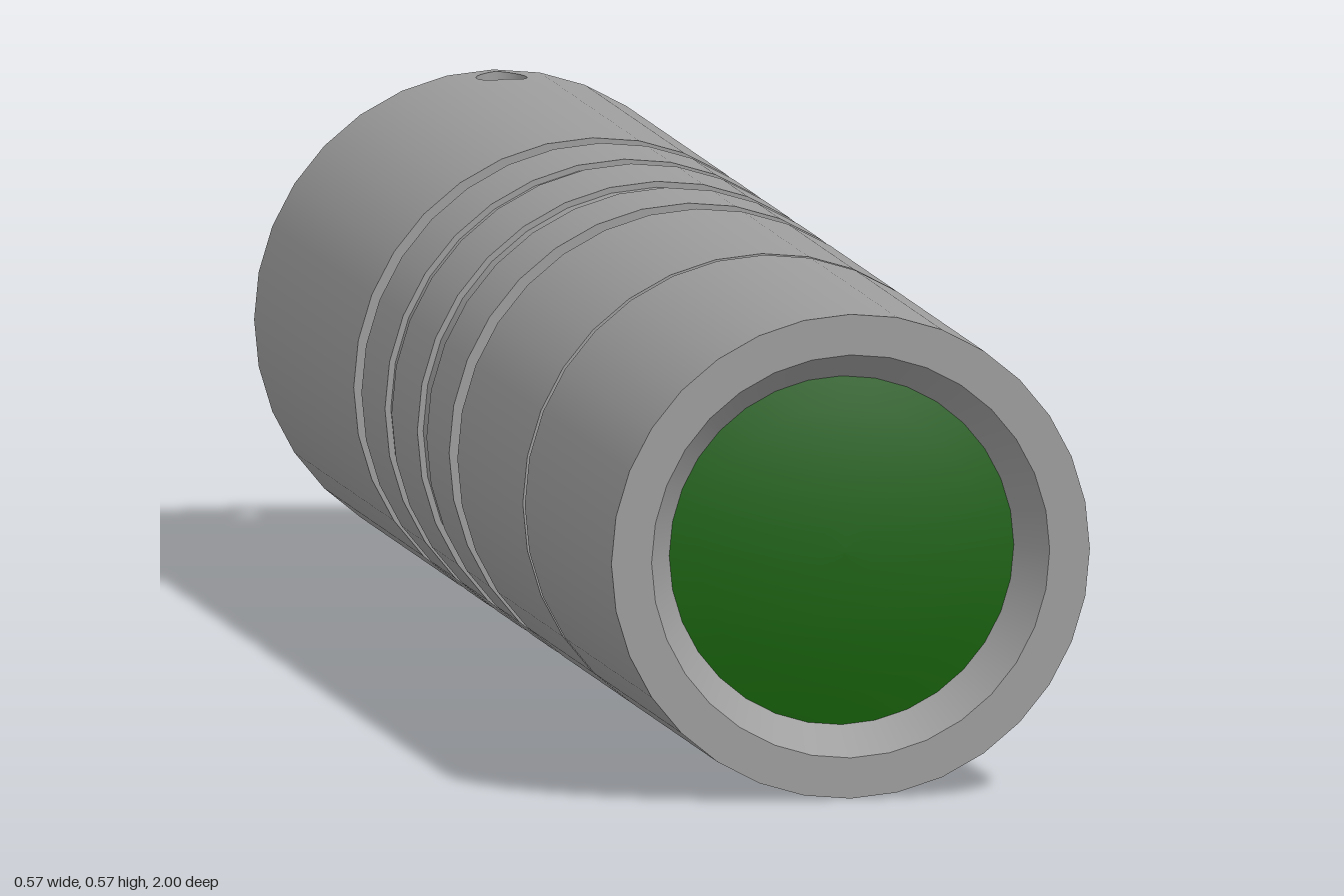
import * as THREE from 'three';

const R = 0.286, BORE = 0.24, SIDES = 32;
const TAIL = -0.955, BAND = -0.865; // z range of the pierced tail band
const HALF = Math.PI / 16;          // half angle of the pierced patch (two facets)

const metal = new THREE.MeshStandardMaterial({ color: 0x9d9d9d });
const lensGreen = new THREE.MeshStandardMaterial({ color: 0x17610a });
const buttonBlue = new THREE.MeshStandardMaterial({ color: 0x061594 });

// Turned part along z from [radius, z] points; sharp corners are doubled to stay crisp
function turned(name, points, material, start = 0, length = Math.PI * 2, sides = SIDES) {
  const profile = points.map(([r, z]) => new THREE.Vector2(r, z));
  const crisp = profile.flatMap((p, i) => {
    if (i === 0 || i === profile.length - 1) return [p];
    const before = p.clone().sub(profile[i - 1]), after = profile[i + 1].clone().sub(p);
    return before.angleTo(after) > 0.5 ? [p, p.clone()] : [p];
  });
  const geo = new THREE.LatheGeometry(crisp, sides, start, length).rotateX(Math.PI / 2);
  const mesh = new THREE.Mesh(geo, material);
  mesh.name = name;
  return mesh;
}

// Curved piece of the tail wall with a round hole through it
function piercedPatch() {
  const hole = 0.03, zMid = (TAIL + BAND) / 2, zHalf = (BAND - TAIL) / 2, n = 32;
  // Point on the faceted wall at angle a from the top
  const at = (r, a, z) => {
    const f = r * Math.cos(HALF / 2) / Math.cos(Math.abs(a) - HALF / 2);
    return [f * Math.sin(a), f * Math.cos(a), z];
  };
  const edgeAngle = t => HALF * Math.cos(t) / Math.max(Math.abs(Math.cos(t)), Math.abs(Math.sin(t)));
  const edgeZ = t => zMid + zHalf * Math.sin(t) / Math.max(Math.abs(Math.cos(t)), Math.abs(Math.sin(t)));
  const position = [], normal = [], index = [];
  const ring = (r, onEdge, side) => {
    for (let i = 0; i < n; i++) {
      const t = i / n * Math.PI * 2;
      const a = onEdge ? edgeAngle(t) : Math.asin(hole * Math.cos(t) / r);
      position.push(...at(r, a, onEdge ? edgeZ(t) : zMid + hole * Math.sin(t)));
      if (side) normal.push(side * Math.sin(a), side * Math.cos(a), 0);
      else normal.push(-Math.cos(t), 0, -Math.sin(t));
    }
  };
  // Inner face, tunnel and outer face, two rings each
  ring(BORE, true, -1); ring(BORE, false, -1);
  ring(BORE, false, 0); ring(R, false, 0);
  ring(R, false, 1); ring(R, true, 1);
  for (let k = 0; k < 6; k += 2) {
    for (let i = 0; i < n; i++) {
      const a = k * n + i, b = k * n + (i + 1) % n;
      index.push(a, b, a + n, b, b + n, a + n);
    }
  }
  const geo = new THREE.BufferGeometry();
  geo.setAttribute('position', new THREE.Float32BufferAttribute(position, 3));
  geo.setAttribute('normal', new THREE.Float32BufferAttribute(normal, 3));
  geo.setIndex(index);
  const mesh = new THREE.Mesh(geo, metal);
  mesh.name = 'lanyardHole';
  return mesh;
}

export function createModel() {
  const group = new THREE.Group();
  group.name = 'flashlight';

  // Barrel with grip grooves, each given as [rear z, front z, radius]
  const grooves = [
    [-0.41, -0.368, 0.261], [-0.239, -0.203, 0.279], [-0.062, -0.012, 0.279],
    [0.112, 0.157, 0.261], [0.515, 0.526, 0.279],
  ];
  const barrel = [[R, BAND]];
  for (const [z0, z1, r] of grooves) barrel.push([R, z0], [r, z0], [r, z1], [R, z1]);
  barrel.push([R, 1], [0.238, 1], [0.206, 0.95]);
  group.add(turned('barrel', barrel, metal));

  // Domed lens
  const lens = [];
  for (let i = 0; i <= 6; i++) {
    const u = 1 - i / 6;
    lens.push([0.206 * u, 0.95 + 0.018 * (1 - u * u)]);
  }
  group.add(turned('lens', lens, lensGreen));

  // Tail recess with a rounded floor
  const corner = 0.04, recess = [[0, BAND + corner]];
  for (let i = 0; i <= 6; i++) {
    const a = i / 6 * Math.PI / 2;
    recess.push([BORE - corner + corner * Math.sin(a), BAND + corner * Math.cos(a)]);
  }
  group.add(turned('tailRecess', recess, metal));

  // Tail wall around the pierced patch, and its end rim
  const start = Math.PI + HALF, sweep = Math.PI * 2 - 2 * HALF;
  group.add(turned('tailWallInner', [[BORE, BAND], [BORE, TAIL]], metal, start, sweep, SIDES - 2));
  group.add(turned('tailWallOuter', [[R, TAIL], [R, BAND]], metal, start, sweep, SIDES - 2));
  group.add(turned('tailRim', [[BORE, TAIL], [R, TAIL]], metal));
  group.add(piercedPatch());

  // Push button with rounded edge and a slightly wider base
  const button = [[0, -1]];
  for (let i = 0; i <= 6; i++) {
    const a = i / 6 * Math.PI / 2;
    button.push([0.118 + 0.03 * Math.sin(a), -0.97 - 0.03 * Math.cos(a)]);
  }
  button.push([0.148, -0.9], [0.153, -0.885], [0.153, -0.82]);
  group.add(turned('pushButton', button, buttonBlue));

  group.position.y = R;
  const model = new THREE.Group();
  model.add(group);
  return model;
}
